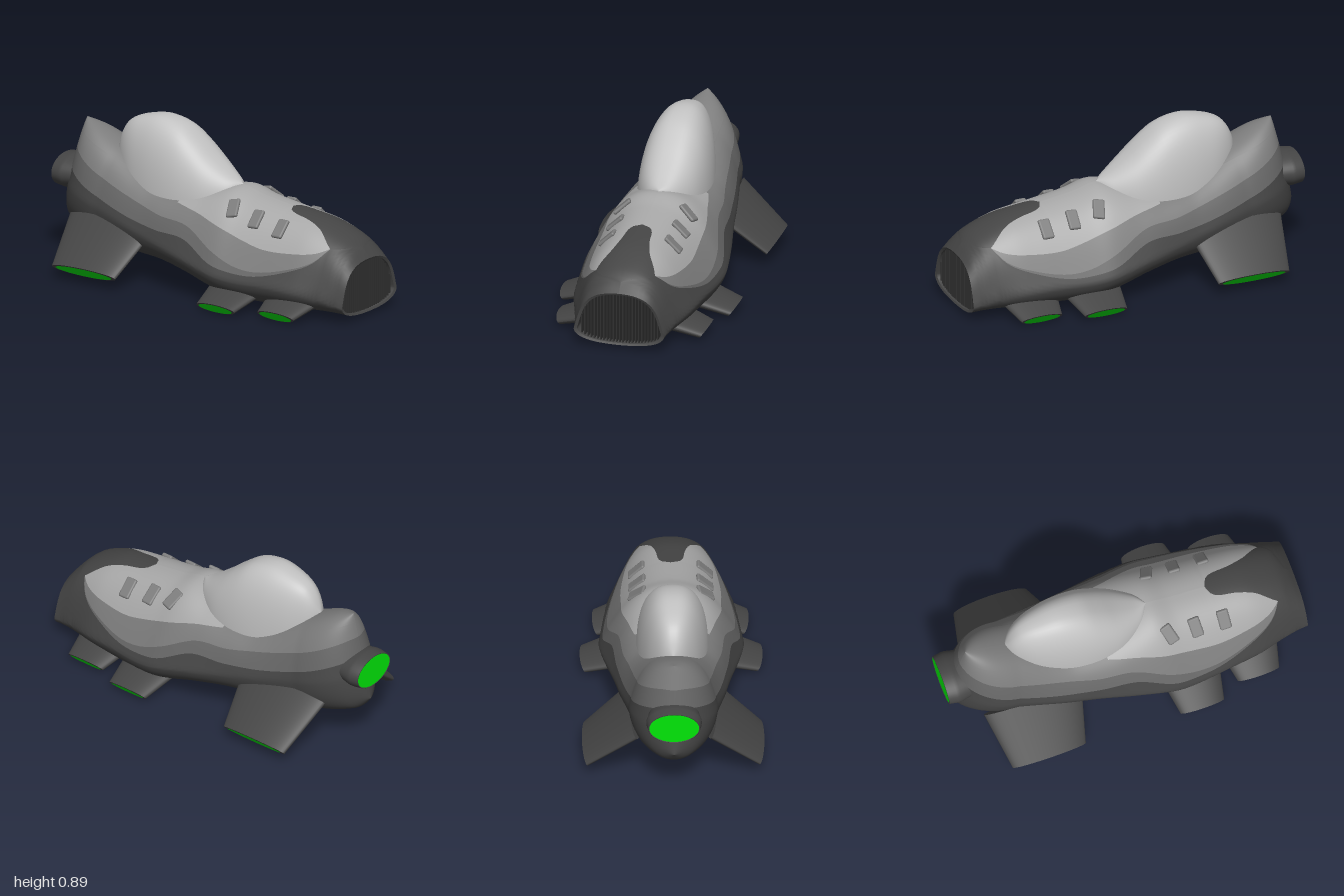
import * as THREE from 'three';
import { RoundedBoxGeometry } from 'three/addons/geometries/RoundedBoxGeometry.js';

const mat = (name, color) => {
  const m = new THREE.MeshStandardMaterial({ color });
  m.name = name;
  return m;
};

// Smooth curve through [u, value] pairs (u descending), constant past the ends
function curve(...p) {
  const slope = i => {
    const a = p[Math.max(i - 1, 0)], b = p[Math.min(i + 1, p.length - 1)];
    return (b[1] - a[1]) / (b[0] - a[0]);
  };
  return u => {
    if (u >= p[0][0]) return p[0][1];
    if (u <= p[p.length - 1][0]) return p[p.length - 1][1];
    let i = 0;
    while (u < p[i + 1][0]) i++;
    const h = p[i + 1][0] - p[i][0], t = (u - p[i][0]) / h, t2 = t * t, t3 = t2 * t;
    return (2 * t3 - 3 * t2 + 1) * p[i][1] + (t3 - 2 * t2 + t) * h * slope(i)
      + (3 * t2 - 2 * t3) * p[i + 1][1] + (t3 - t2) * h * slope(i + 1);
  };
}

// Hull cross-section controls, from nose (u = 1) to heel (u = -0.86)
const bottom = curve([1, .03], [.8, .025], [.5, .015], [.3, .02], [.15, .05], [0, .09], [-.2, .12], [-.4, .125], [-.6, .15], [-.8, .22], [-.86, .29]);
const top = curve([1, .325], [.95, .385], [.9, .425], [.8, .47], [.7, .5], [.5, .53], [.3, .56], [.17, .59], [0, .55], [-.15, .53], [-.3, .54], [-.4, .58], [-.6, .68], [-.75, .75], [-.86, .785]);
const waistY = curve([1, .1], [.85, .14], [.6, .17], [.3, .18], [0, .24], [-.3, .3], [-.6, .38], [-.86, .45]);
const sideW = curve([1, .25], [.95, .258], [.85, .285], [.7, .33], [.5, .36], [.3, .385], [.2, .388], [0, .36], [-.2, .32], [-.4, .285], [-.6, .24]);
const flank = curve([1, .86], [.85, .8], [.6, .73], [.2, .72], [-.2, .85], [-.45, .82], [-.86, .88]);
const shoulder = curve([1, .8], [.85, .68], [.6, .54], [.2, .52], [-.2, .75], [-.45, .62], [-.86, .75]);
const lean = curve([-.3, 0], [-.55, .1], [-.86, .24]);
const width = u => sideW(u) * (u < -.6 ? Math.sqrt(Math.max(0, 1 - ((-.6 - u) / .26) ** 2)) : 1);

// Colour borders, as heights on the side
const bandLow = curve([.86, .39], [.8, .32], [.7, .27], [.5, .215], [.35, .212], [.2, .24], [0, .33], [-.2, .34], [-.4, .37], [-.6, .43], [-.85, .54]);
const collarLow = curve([.86, .39], [.8, .325], [.7, .28], [.5, .235], [.35, .245], [.2, .3], [0, .395], [-.2, .415], [-.4, .46], [-.6, .53], [-.85, .65]);
const rim = curve([.86, .39], [.8, .365], [.7, .35], [.5, .345], [.35, .375], [.2, .42], [.05, .46], [-.12, .485], [-.25, .505], [-.5, .6], [-.85, .735]);
const capX = curve([.86, .165], [.82, .145], [.75, .105], [.65, .078], [.56, .066], [.52, .045], [.5, 0]);

// Point on the right half-section: s = 0 keel, 0.5 waist, 1 spine
function skin(u, s) {
  const W = width(u), Y = waistY(u), B = bottom(u), T = top(u);
  let x, y;
  if (s < .5) {
    const t = 2 * s;
    x = 2 * t * (1 - t) * W * .95 + t * t * W;
    y = B + t * t * (Y - B);
  } else {
    const t = 2 * s - 1, r = 1 - t, a = r * r * r, b = 3 * r * r * t, c = 3 * r * t * t;
    x = W * (a + b * flank(u) + c * shoulder(u));
    y = Y + (T - Y) * (b * .55 + c + t * t * t);
  }
  return new THREE.Vector3(x, y, u - lean(u) * (T - y));
}
function solve(lo, hi, below) {
  for (let k = 0; k < 30; k++) {
    const m = (lo + hi) / 2;
    if (below(m)) lo = m; else hi = m;
  }
  return (lo + hi) / 2;
}
const atY = (u, y) => solve(0, 1, s => skin(u, s).y < y);
const atX = (u, x) => solve(.5, 1, s => skin(u, s).x > x);

// Surface from a grid of points
function grid(nu, nv, point, flip = false) {
  const pos = [], idx = [];
  for (let i = 0; i <= nu; i++) for (let j = 0; j <= nv; j++) pos.push(...point(i, j).toArray());
  for (let i = 0; i < nu; i++) for (let j = 0; j < nv; j++) {
    const a = i * (nv + 1) + j, b = a + nv + 1;
    idx.push(...(flip ? [a, a + 1, b, b, a + 1, b + 1] : [a, b, a + 1, b, b + 1, a + 1]));
  }
  const g = new THREE.BufferGeometry();
  g.setAttribute('position', new THREE.Float32BufferAttribute(pos, 3));
  g.setIndex(idx);
  g.computeVertexNormals();
  return g;
}

export function createModel() {
  const model = new THREE.Group();
  const hull = mat('hull charcoal', 0x454545), band = mat('band grey', 0x666666);
  const collar = mat('collar grey', 0x7c7c7c), upper = mat('upper light grey', 0xa8a8a8);
  const glass = mat('canopy pale grey', 0xc2c2c2), dark = mat('grille dark', 0x303030);
  const green = mat('glow green', 0x00e808);
  const add = (name, geo, material, parent = model) => {
    const m = new THREE.Mesh(geo, material);
    m.name = name;
    parent.add(m);
    return m;
  };

  // Stations along the hull, closer together round the heel
  const stations = [];
  for (let k = 0; k <= 85; k++) stations.push(1 - k * .02);
  for (let k = 1; k <= 16; k++) stations.push(-.7 - .16 * Math.sin(k / 16 * Math.PI / 2));

  // Mirrored hull strip between two borders
  function strip(name, material, from, to, s0, s1, n) {
    const us = stations.filter(u => u < from + .001 && u > to - .001);
    const rows = us.map(u => [s0(u), s1(u)]);
    for (const side of [1, -1]) {
      add(name, grid(us.length - 1, n, (i, j) => {
        const [a, b] = rows[i], p = skin(us[i], j === n ? b : a + (b - a) * j / n);
        p.x *= side;
        return p;
      }, side < 0), material);
    }
  }
  const bandS = u => atY(u, bandLow(u)), collarS = u => atY(u, collarLow(u)), rimS = u => atY(u, rim(u));
  const capS = u => u > .859 ? rimS(u) : Math.max(rimS(u), atX(u, capX(u)));
  strip('lowerHull', hull, 1, -.86, () => 0, bandS, 28);
  strip('sideBand', band, .86, -.86, bandS, collarS, 4);
  strip('collar', collar, .86, -.86, collarS, rimS, 8);
  strip('upper', upper, .86, .5, rimS, capS, 14);
  strip('upper', upper, .5, -.12, rimS, () => 1, 14);
  strip('toeCap', hull, 1, .5, capS, () => 1, 14);
  strip('heelTop', collar, -.12, -.86, rimS, () => 1, 14);

  // Bubble canopy
  const cw = curve([.17, 0], [.14, .065], [.1, .105], [0, .16], [-.1, .185], [-.2, .192], [-.3, .185], [-.4, .165], [-.5, .132], [-.58, .085], [-.62, .045], [-.64, 0]);
  const ch = curve([.17, .59], [.1, .63], [0, .705], [-.1, .79], [-.2, .86], [-.33, .892], [-.45, .875], [-.55, .835], [-.6, .775], [-.64, .68]);
  add('canopy', grid(48, 32, (i, j) => {
    const z = -.235 + .405 * Math.cos(i / 48 * Math.PI), a = j / 32 * Math.PI;
    const c = Math.cos(a), base = top(z) - .1;
    return new THREE.Vector3(Math.sign(c) * Math.abs(c) ** .78 * cw(z), base + (ch(z) - base) * Math.abs(Math.sin(a)) ** .82, z);
  }), glass);

  // Nose intake: lip, recess walls and back panel
  const intake = new THREE.Group();
  intake.name = 'intake';
  model.add(intake);
  const mouth = (k, scale, z) => {
    const right = k <= 40, p = skin(1, right ? k / 40 : (80 - k) / 40);
    return new THREE.Vector3((right ? 1 : -1) * p.x * scale, .17 + (p.y - .17) * scale, z);
  };
  const ring = (a, za, b, zb) => grid(1, 80, (i, j) => i ? mouth(j, b, zb) : mouth(j, a, za), true);
  add('intakeLip', ring(1, 1, .93, .995), hull, intake);
  add('intakeWall', ring(.93, .995, .92, .92), hull, intake);
  const outline = [];
  for (let k = 0; k < 80; k++) outline.push(mouth(k, .93, 0));
  add('intakeBack', new THREE.ShapeGeometry(new THREE.Shape(outline)), dark, intake).position.z = .925;
  const glow = add('intakeGlow', new THREE.CircleGeometry(1, 40), green, intake);
  glow.scale.set(.13, .085, 1);
  glow.position.set(0, .235, .93);

  // Vertical grille bars
  for (let k = -12; k <= 12; k++) {
    const x = k * .0175, px = Math.abs(x) / .93;
    const y1 = skin(1, atX(1, px)).y, y0 = skin(1, solve(0, .5, s => skin(1, s).x < px)).y;
    const bar = add('grilleBar', new THREE.BoxGeometry(.007, (y1 - y0) * .93, .052), dark, intake);
    bar.position.set(x, .17 + ((y0 + y1) / 2 - .17) * .93, .958);
  }

  // Side thrusters: tip x, tip y, centre z, half thickness, half length in z, pod length, slant
  const pods = [
    ['frontThruster', .395, .035, .665, .038, .118, .15, .41],
    ['middleThruster', .465, .035, .32, .038, .124, .19, .41],
    ['rearThruster', .464, .079, -.55, .038, .208, .34, 0],
  ];
  const dir = new THREE.Vector2(.77, -.64);
  for (const [name, x, y, z, thick, half, len, slant] of pods) for (const side of [1, -1]) {
    const pod = new THREE.Group();
    pod.name = name;
    pod.position.set(side * (x - dir.x * len / 2), y - dir.y * len / 2, z);
    pod.rotation.z = -side * 2.265;
    pod.scale.set(thick, 1, half);
    const cone = new THREE.CylinderGeometry(1, 1.33, len, 48), v = cone.attributes.position;
    for (let i = 0; i < v.count; i++) v.setX(i, v.getX(i) + side * slant * (len / 2 - v.getY(i)) / thick);
    cone.computeVertexNormals();
    add('thrusterShell', cone, hull, pod);
    const disc = add('thrusterGlow', new THREE.CircleGeometry(.88, 40), green, pod);
    disc.rotation.x = -Math.PI / 2;
    disc.position.y = len / 2 + .002;
    model.add(pod);
  }

  // Raised slats on the upper, laid along the skin
  [[.545, .45, 0], [.385, .475, .06], [.235, .51, .3]].forEach(([u, y, turn]) => {
    const s = atY(u, y), p = skin(u, s), t = skin(u, s + .01).sub(skin(u, s - .01));
    for (const side of [1, -1]) {
      const slat = add('slat', new RoundedBoxGeometry(.115, .022, .066, 4, .0105), collar);
      slat.position.set(side * p.x, p.y + .002, p.z);
      slat.rotation.order = 'ZYX';
      slat.rotation.z = Math.atan2(t.y, side * t.x) + (side > 0 ? Math.PI : 0);
      slat.rotation.y = -side * turn;
    }
  });

  // Tail nozzle
  const tail = new THREE.Group();
  tail.name = 'tailNozzle';
  tail.position.set(0, .475, 0);
  tail.scale.set(.148, .096, 1);
  model.add(tail);
  const profile = [[.85, -.8], [.95, -.9], [1, -.93], [1, -.95], [.94, -.998], [.92, -1], [.88, -.995], [0, -.995]];
  const shell = add('nozzleShell', new THREE.LatheGeometry(profile.map(([r, h]) => new THREE.Vector2(r, h)).reverse(), 48), hull, tail);
  shell.rotation.x = Math.PI / 2;
  const flame = add('nozzleGlow', new THREE.CircleGeometry(.9, 40), green, tail);
  flame.rotation.y = Math.PI;
  flame.position.z = -.998;
  return model;
}
